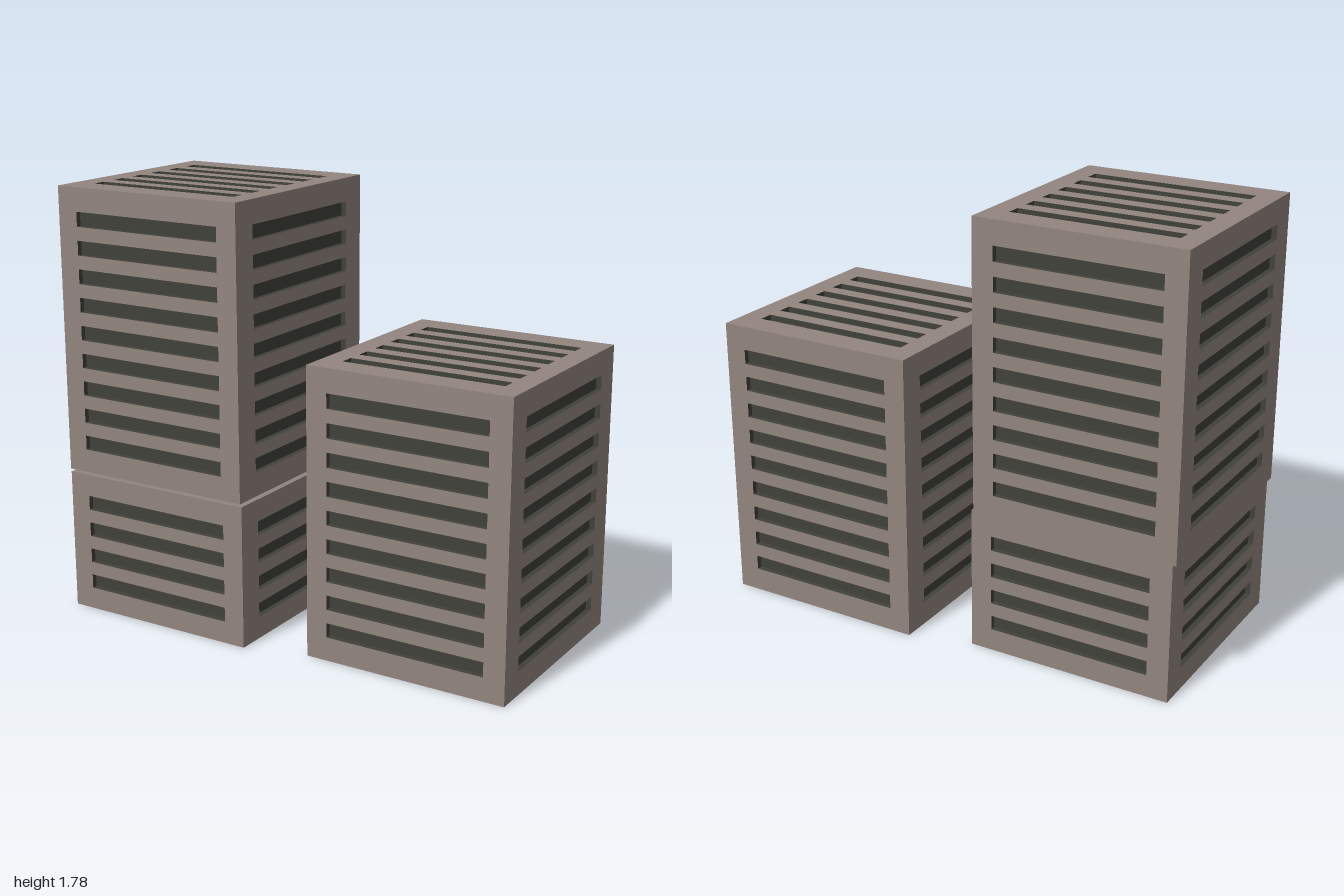
import * as THREE from 'three';
import { mergeGeometries } from 'three/addons/utils/BufferGeometryUtils.js';

const WIDTH = 0.859, DEPTH = 0.905;
const SLOT_W = 0.68, SLOT_H = 0.06, SLOT_D = 0.022;

const shellMat = new THREE.MeshStandardMaterial({ color: 0x93857f });
const slotMat = new THREE.MeshStandardMaterial({ color: 0x40413a });

// Inward-facing box without its front: the lining of one slot
function pocket(y) {
  const box = new THREE.BoxGeometry(SLOT_W, SLOT_H, SLOT_D);
  const idx = Array.from(box.index.array);
  idx.splice(24, 6);
  box.setIndex(idx.reverse());
  const g = box.toNonIndexed();
  g.computeVertexNormals();
  return g.translate(0, y, -SLOT_D / 2);
}

// Flat face in the xy plane with a column of slots; returns panel and linings
function slottedFace(w, h, count, pitch) {
  const rect = (Type, a, b, y) => new Type([
    [-a, -b], [a, -b], [a, b], [-a, b],
  ].map(([px, py]) => new THREE.Vector2(px, py + y)));
  const shape = rect(THREE.Shape, w / 2, h / 2, 0);
  const linings = [];
  for (let i = 0; i < count; i++) {
    const y = (i - (count - 1) / 2) * pitch;
    shape.holes.push(rect(THREE.Path, SLOT_W / 2, SLOT_H / 2, y));
    linings.push(pocket(y));
  }
  return { panel: new THREE.ShapeGeometry(shape), lining: mergeGeometries(linings) };
}

// Crate with slots on all six sides, standing on y
function crate(name, x, y, z, height, rows) {
  const panels = [], linings = [];
  const add = (w, h, count, pitch, rx, ry, dist) => {
    const { panel, lining } = slottedFace(w, h, count, pitch);
    for (const g of [panel, lining]) g.translate(0, 0, dist).rotateX(rx).rotateY(ry);
    panels.push(panel);
    linings.push(lining);
  };
  const q = Math.PI / 2;
  for (const s of [0, 1]) {
    add(WIDTH, height, rows, 0.116, 0, s * 2 * q, DEPTH / 2);           // front, back
    add(DEPTH, height, rows, 0.116, 0, q + s * 2 * q, WIDTH / 2);       // sides
    add(WIDTH, DEPTH, 6, 0.1225, s ? q : -q, 0, height / 2);            // top, bottom
  }
  const group = new THREE.Group();
  group.name = name;
  const shell = new THREE.Mesh(mergeGeometries(panels), shellMat);
  shell.name = 'shell';
  const slots = new THREE.Mesh(mergeGeometries(linings), slotMat);
  slots.name = 'slots';
  group.add(shell, slots);
  group.position.set(x, y + height / 2, z);
  return group;
}

export function createModel() {
  const model = new THREE.Group();
  model.name = 'slottedCrates';
  model.add(
    crate('lowerCrate', -0.544, 0, 0.035, 0.592, 4),
    crate('upperCrate', -0.57, 0.592, 0.008, 1.184, 9),
    crate('singleCrate', 0.57, 0, -0.037, 1.184, 9),
  );
  return model;
}
